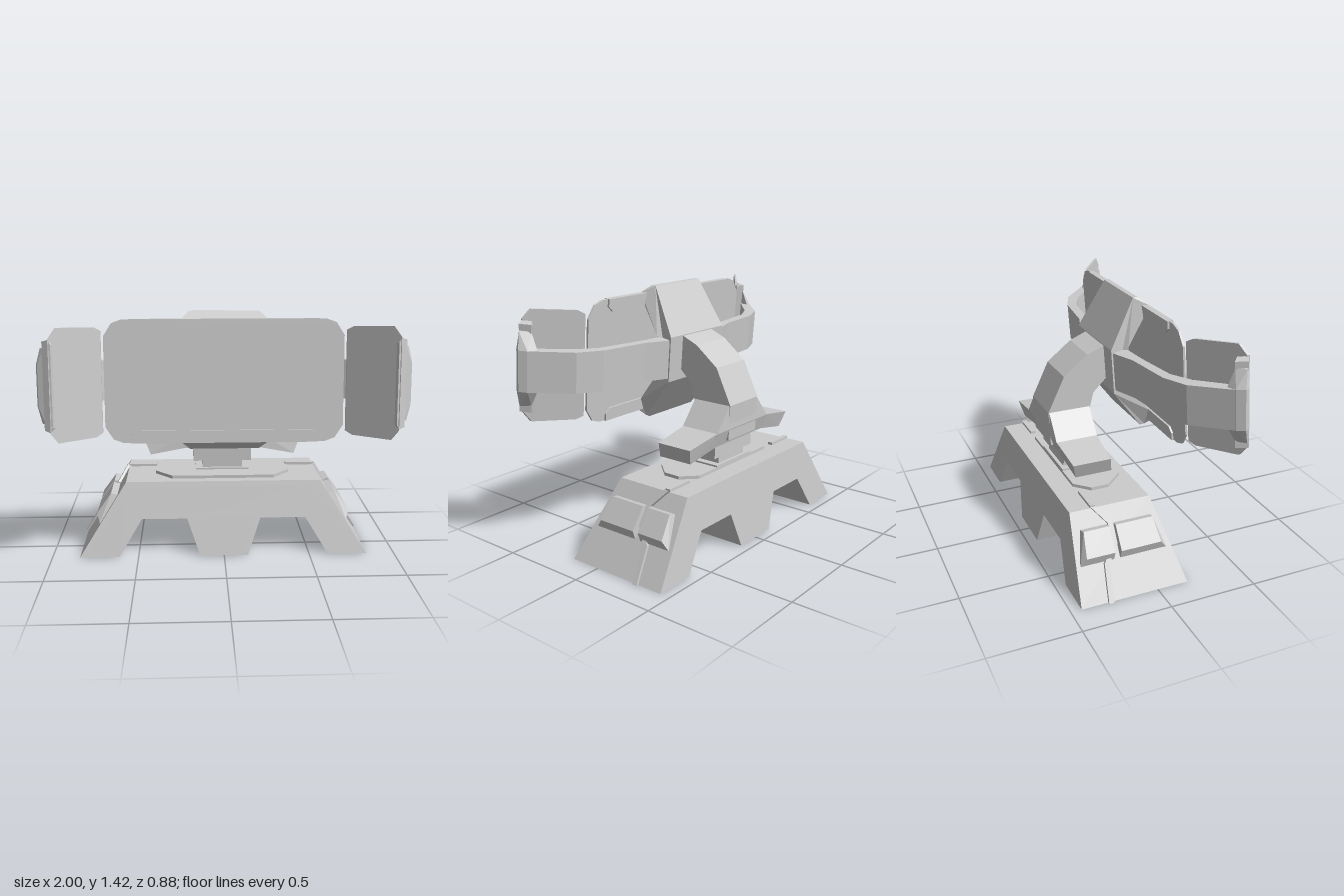
import * as THREE from 'three';
import { ConvexGeometry } from 'three/addons/geometries/ConvexGeometry.js';

const material = new THREE.MeshStandardMaterial({ color: 0xcccccc, flatShading: true });

function add(parent, name, geometry) {
  const mesh = new THREE.Mesh(geometry, material);
  mesh.name = name;
  parent.add(mesh);
  return mesh;
}

const toShape = (pts) => new THREE.Shape(pts.map(([x, y]) => new THREE.Vector2(x, y)));

// Plain prism, centred on its extrusion axis
function prism(pts, depth, hole) {
  const shape = toShape(pts);
  if (hole) shape.holes.push(toShape(hole));
  const g = new THREE.ExtrudeGeometry(shape, { depth, bevelEnabled: false });
  return g.translate(0, 0, -depth / 2);
}
const prismX = (zy, width) => prism(zy, width).rotateY(-Math.PI / 2); // points are (z, y)
const prismY = (xz, height) => prism(xz, height).rotateX(Math.PI / 2); // points are (x, z)

const hull = (pts) => new ConvexGeometry(pts.map((p) => new THREE.Vector3(...p)));

// Right half of an outline, completed by its mirror image
const mirrored = (half) => [...half, ...half.map(([x, y]) => [-x, y]).reverse()];

// Moves vertices by a rule
function warp(g, rule) {
  const p = g.attributes.position;
  for (let i = 0; i < p.count; i++) p.setXYZ(i, ...rule(p.getX(i), p.getY(i), p.getZ(i)));
  g.computeVertexNormals();
  return g;
}

function box(parent, name, [x0, x1], [y0, y1], [z0, z1]) {
  const g = new THREE.BoxGeometry(x1 - x0, y1 - y0, z1 - z0);
  add(parent, name, g.translate((x0 + x1) / 2, (y0 + y1) / 2, (z0 + z1) / 2));
}

function buildBase() {
  const base = new THREE.Group();
  base.name = 'base';
  const outline = mirrored([[0.57, 0.42], [0.84, 0], [0.61, 0], [0.48, 0.21], [0.215, 0.21], [0.14, 0]]);
  const inset = mirrored([[0.54, 0.39], [0.78, 0.035], [0.625, 0.035], [0.495, 0.235], [0.2, 0.235], [0.12, 0.035]]);

  // Depth runs 0..1 between the sloping back and front faces
  const slope = (t0, t1) => (x, y, z) => {
    const t = z < 0 ? t0 : t1;
    const back = -0.44 + 0.1 * y, front = 0.18 - 0.27 * y;
    return [x, y, back + (front - back) * t];
  };
  add(base, 'baseBody', warp(prism(outline, 1), slope(0, 0.978)));
  add(base, 'frontRim', warp(prism(outline, 1, inset), slope(0.978, 1)));

  // Raised deck plate and stacked pedestal
  const deck = [[0.3, 0.01], [0.4, -0.1], [0.4, -0.2], [0.32, -0.28]];
  add(base, 'deckPlate', prismY(mirrored(deck), 0.02).translate(0, 0.428, 0));
  box(base, 'pedestalFoot', [-0.16, 0.16], [0.43, 0.448], [-0.28, -0.11]);
  box(base, 'pedestalLower', [-0.12, 0.12], [0.43, 0.495], [-0.26, -0.13]);
  box(base, 'pedestalUpper', [-0.175, 0.175], [0.49, 0.6], [-0.275, -0.12]);

  const wallX = (y) => 0.84 - 0.643 * y;
  const seam = [[-0.275, 0], [-0.255, 0.17], [-0.19, 0.24], [-0.19, 0.34], [-0.265, 0.425]];
  for (const s of [1, -1]) {
    // Seam strip running down the sloping end wall
    for (let i = 0; i < seam.length - 1; i++) {
      const pts = [];
      for (const [z, y] of [seam[i], seam[i + 1]])
        for (const dz of [-0.015, 0.015])
          for (const out of [-0.01, 0.014]) pts.push([s * (wallX(y) + out), y + (y > 0 ? out * 0.5 : 0), z + dz]);
      add(base, 'seamStrip', hull(pts));
    }
    const xs = s > 0 ? [0.4, 0.57] : [-0.57, -0.4];
    box(base, 'deckSeam', xs, [0.41, 0.435], [-0.28, -0.25]);

    // Side bulge in two halves, parted by the strip
    for (const [seamZ, low, high, inner] of [[-0.172, 0.1, 0.05, 0.045], [-0.208, -0.4, -0.36, -0.355]]) {
      add(base, 'sideBulge', hull([
        [s * 0.71, 0.18, low], [s * 0.62, 0.335, high], [s * 0.71, 0.18, seamZ], [s * 0.62, 0.335, seamZ],
        [s * 0.728, 0.18, low], [s * 0.728, 0.18, seamZ],
        [s * 0.745, 0.23, inner + (low > 0 ? 0.015 : -0.015)], [s * 0.745, 0.23, seamZ],
        [s * 0.662, 0.345, inner], [s * 0.662, 0.345, seamZ],
      ]));
    }
  }
  return base;
}

function buildNeck() {
  const neck = new THREE.Group();
  neck.name = 'neck';
  // Bent column, points (z, y)
  add(neck, 'neckColumn', prismX([
    [-0.1, 0.6], [-0.095, 0.8], [-0.075, 0.88], [0.005, 0.96], [0.01, 1.14], [-0.015, 1.15],
    [-0.11, 1.11], [-0.25, 1.0], [-0.345, 0.8], [-0.335, 0.6]], 0.26));

  // Flared shoulder and drooping wings
  const flare = [];
  for (const s of [1, -1]) {
    for (const z of [-0.1, -0.34]) flare.push([s * 0.13, 0.8, z], [s * 0.24, 0.665, z], [s * 0.24, 0.58, z * 0.92]);
    add(neck, 'shoulderWing', hull([
      [s * 0.22, 0.67, -0.1], [s * 0.22, 0.67, -0.34], [s * 0.22, 0.58, -0.092], [s * 0.22, 0.58, -0.313],
      [s * 0.465, 0.63, -0.115], [s * 0.465, 0.63, -0.33], [s * 0.43, 0.54, -0.095], [s * 0.43, 0.54, -0.305],
    ]));
  }
  add(neck, 'shoulder', hull(flare));
  return neck;
}

function buildHead() {
  const head = new THREE.Group();
  head.name = 'head';
  head.position.y = 1.028;
  head.rotation.x = -0.078;

  // C-shaped bracket holding the main panel at top and bottom, points (z, y)
  const upper = [[-0.005, 0.128], [0.16, 0.383], [0.187, 0.383], [0.228, 0.342], [0.2, 0.28], [0.097, 0.122]];
  const bracket = [...upper, ...upper.map(([z, y]) => [z, -y]).reverse()];
  add(head, 'bracket', warp(prismX(bracket, 0.47), (x, y, z) => [Math.abs(y) > 0.37 ? x * 0.82 : x, y, z]));

  // Main panel with rails along both long edges
  const corner = [[0.56, 0.34], [0.615, 0.32], [0.66, 0.25]];
  const panel = mirrored([...corner, ...corner.map(([x, y]) => [x, -y]).reverse()]);
  add(head, 'mainPanel', prism(panel, 0.012).translate(0, 0, 0.212));
  for (const s of [1, -1]) {
    add(head, 'panelRail', prism(mirrored([[0.52, s * 0.342], [0.52, s * 0.3], [0.49, s * 0.272]]), 0.034)
      .translate(0, 0, 0.212));
  }

  for (const s of [1, -1]) {
    // Curved arm, points (x, z)
    const arm = [[0.2, -0.005], [0.38, 0.055], [0.66, 0.088], [0.8, 0.145], [0.975, 0.32],
      [0.92, 0.345], [0.76, 0.2], [0.64, 0.14], [0.38, 0.105], [0.2, 0.092]];
    add(head, 'sideArm', prismY(arm.map(([x, z]) => [s * x, z]), 0.22));

    // Angled side panel
    const half = [[0.672, 0.28], [0.705, 0.3], [0.89, 0.305], [0.925, 0.25]];
    const side = [...half, ...half.map(([x, y]) => [x, -y]).reverse()];
    add(head, 'sidePanel', warp(prism(side.map(([x, y]) => [s * x, y]), 0.014),
      (x, y, z) => [x, y, z + 0.222 + (Math.abs(x) - 0.67) * 0.77]));

    // Upright rail and grip on the outer edge
    const rail = [], grip = [];
    for (const t of [1, -1]) {
      for (const [x, z, y] of [[0.885, 0.375, 0.22], [0.912, 0.425, 0.22], [0.9, 0.37, 0.245], [0.925, 0.422, 0.245],
        [0.96, 0.4, 0.235], [0.93, 0.34, 0.235]]) rail.push([s * x, t * y, z]);
      for (const [x, z, y] of [[0.925, 0.345, 0.2], [0.955, 0.4, 0.2], [0.972, 0.385, 0.2],
        [1, 0.36, 0.11], [0.99, 0.385, 0.11], [0.975, 0.318, 0.11], [0.925, 0.3, 0.11]]) grip.push([s * x, t * y, z]);
    }
    add(head, 'edgeRail', hull(rail));
    add(head, 'edgeGrip', hull(grip));
  }
  return head;
}

export function createModel() {
  const model = new THREE.Group();
  model.name = 'panelStand';
  model.add(buildBase(), buildNeck(), buildHead());
  return model;
}
